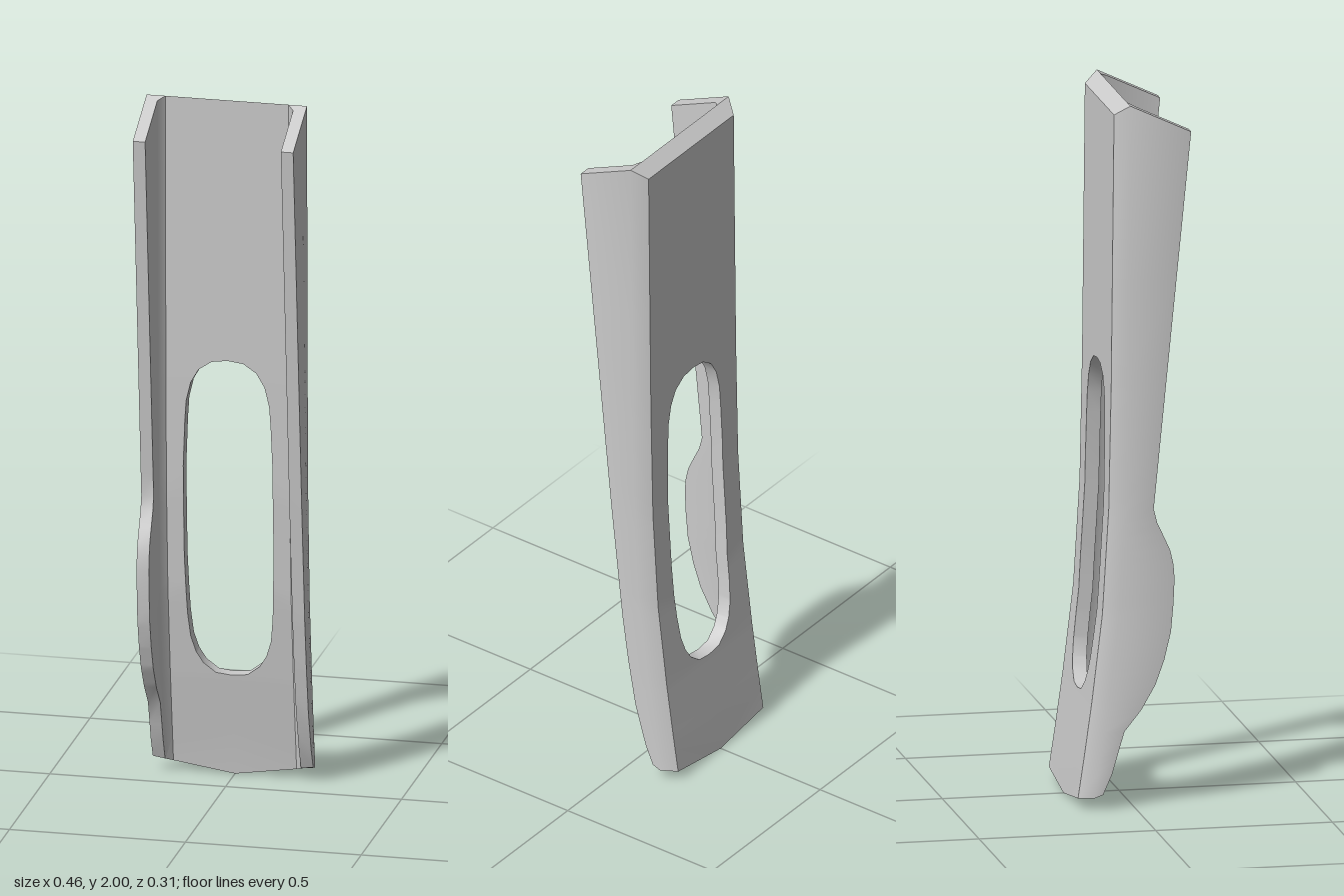
import * as THREE from 'three';
import { toCreasedNormals } from 'three/addons/utils/BufferGeometryUtils.js';

// Profiles as [height, value] pairs
const BACK = [[0.03, -0.157], [0.15, -0.139], [0.3, -0.118], [0.55, -0.088], [0.85, -0.07], [1.2, -0.063], [1.97, -0.055]];
const FLANGE = [[0.04, -0.092], [0.1, -0.067], [0.22, -0.032], [0.36, -0.007], [0.5, 0.013], [0.85, 0.051], [1.92, 0.157]];
const LOBE = [[0.22, -0.032], [0.28, 0.016], [0.35, 0.056], [0.42, 0.081], [0.5, 0.1], [0.58, 0.107], [0.65, 0.11],
  [0.69, 0.107], [0.73, 0.098], [0.77, 0.08], [0.81, 0.061], [0.85, 0.051]];
const SLOT = [[0.3, 0], [0.305, 0.045], [0.332, 0.08], [0.365, 0.1], [0.41, 0.114], [0.48, 0.121], [0.65, 0.127],
  [0.92, 0.127], [1.05, 0.122], [1.11, 0.118], [1.165, 0.105], [1.205, 0.082], [1.23, 0.045], [1.236, 0]];

function sample(table, y) {
  if (y <= table[0][0]) return table[0][1];
  for (let i = 1; i < table.length; i++) {
    const [y0, v0] = table[i - 1], [y1, v1] = table[i];
    if (y <= y1) return v0 + (v1 - v0) * (y - y0) / (y1 - y0);
  }
  return table[table.length - 1][1];
}

// Sloped ends: shallow V at the foot, two-way bevel at the top
const footY = (x, z) => 0.15 * x + Math.max(0, z + 0.115) * 0.4;
const topY = (z) => (z < -0.015 ? 2 + (z + 0.015) * 0.75 : 2 - (z + 0.015) * 0.47);

export function createModel() {
  const inner = [...BACK, ...FLANGE, ...LOBE, ...SLOT].map((p) => p[0]).filter((y) => y > 0.09 && y < 1.85);
  const rows = [0, ...new Set([...inner, 1.5].sort((a, b) => a - b)), 2];
  const positions = [];

  // One half of the channel, swept upwards as closed cross-sections
  function addHalf(side) {
    const rings = rows.map((y, i) => {
      const zb = sample(BACK, y), w = sample(SLOT, y) * (y < 1.236 ? 1 : 0);
      const table = side < 0 && y >= 0.22 && y <= 0.85 ? LOBE : FLANGE;
      const zf = Math.max(sample(table, y), zb + 0.064);
      const section = [[w, zb], [0.198, zb], [0.228, zb + 0.04], [0.228, zf],
        [0.193, zf], [0.193, zb + 0.06], [0.175, zb + 0.04], [w, zb + 0.04]];
      const ring = section.map(([x, z]) => [side * x,
        i === 0 ? footY(x, z) : i === rows.length - 1 ? topY(z) : y, z]);
      ring.slot = w;
      return ring;
    });
    const quad = (a, b, c, d) => {
      const order = side > 0 ? [a, b, c, a, c, d] : [a, c, b, a, d, c];
      order.forEach((p) => positions.push(...p));
    };
    for (let i = 0; i < rings.length - 1; i++) {
      const lo = rings[i], hi = rings[i + 1];
      for (let j = 0; j < 8; j++) {
        const k = (j + 1) % 8;
        // The inward wall exists only along the slot
        if (j === 7 && lo.slot === 0 && hi.slot === 0) continue;
        quad(lo[j], hi[j], hi[k], lo[k]);
      }
    }
    // End caps
    const foot = rings[0], top = rings[rings.length - 1];
    for (let j = 0; j < 3; j++) {
      quad(foot[j], foot[j + 1], foot[6 - j], foot[7 - j]);
      quad(top[7 - j], top[6 - j], top[j + 1], top[j]);
    }
  }
  addHalf(1);
  addHalf(-1);

  const geometry = new THREE.BufferGeometry();
  geometry.setAttribute('position', new THREE.Float32BufferAttribute(positions, 3));
  const channel = new THREE.Mesh(toCreasedNormals(geometry, 0.75),
    new THREE.MeshStandardMaterial({ color: 0xcccccc }));
  channel.name = 'slottedChannel';

  const group = new THREE.Group();
  group.name = 'channelBracket';
  group.add(channel);
  return group;
}
